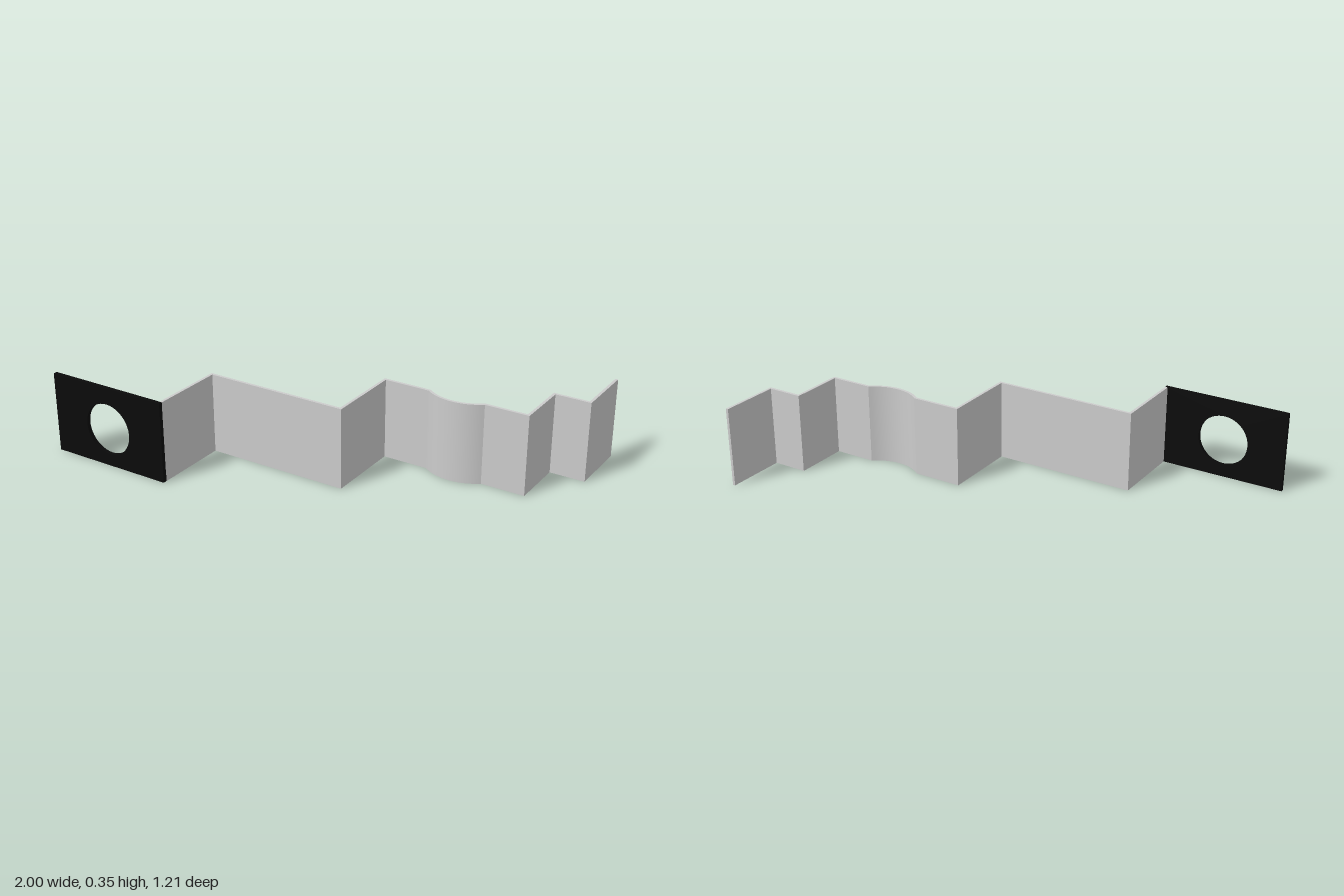
import * as THREE from 'three';
import { toCreasedNormals } from 'three/addons/utils/BufferGeometryUtils.js';

const HEIGHT = 0.353, THICK = 0.012;

// Closed outline around an open centre line, with mitred corners
function ribbonShape(path, thickness) {
  const normal = (a, b) => new THREE.Vector2(a.y - b.y, b.x - a.x).normalize();
  const offset = (side) => path.map((p, i) => {
    const n1 = normal(path[Math.max(i - 1, 0)], path[Math.max(i, 1)]);
    const last = path.length - 1;
    const n2 = normal(path[Math.min(i, last - 1)], path[Math.min(i + 1, last)]);
    const miter = n1.clone().add(n2).normalize();
    return p.clone().addScaledVector(miter, side * thickness / 2 / miter.dot(n1));
  });
  return new THREE.Shape([...offset(1), ...offset(-1).reverse()]);
}

export function createModel() {
  const model = new THREE.Group();

  // Bent strip: centre line seen from above as (x, -z)
  const bump = { x0: 0.4, x1: 0.65, z: -0.09, sag: 0.044 };
  const half = (bump.x1 - bump.x0) / 2;
  const radius = (half * half + bump.sag * bump.sag) / (2 * bump.sag);
  const spread = Math.asin(half / radius);
  const arc = [];
  for (let i = 0; i <= 20; i++) {
    const a = spread * (i / 10 - 1);
    arc.push([bump.x0 + half + radius * Math.sin(a), bump.z + bump.sag - radius * (1 - Math.cos(a))]);
  }
  const path = [
    [-0.443, 0.588], [-0.443, 0.253], [0.191, 0.253], [0.191, bump.z],
    ...arc,
    [0.839, bump.z], [0.839, -0.333], [0.994, -0.333], [0.994, -0.605],
  ].map(([x, z]) => new THREE.Vector2(x, -z));

  const stripGeometry = new THREE.ExtrudeGeometry(ribbonShape(path, THICK), { depth: HEIGHT, bevelEnabled: false });
  stripGeometry.rotateX(-Math.PI / 2);
  const strip = new THREE.Mesh(
    toCreasedNormals(stripGeometry, 0.4),
    new THREE.MeshStandardMaterial({ color: 0xcccccc }),
  );
  strip.name = 'bentStrip';
  model.add(strip);

  // Black end plate with a round hole
  const plateShape = new THREE.Shape([
    new THREE.Vector2(-1, 0), new THREE.Vector2(-0.437, 0),
    new THREE.Vector2(-0.437, HEIGHT), new THREE.Vector2(-1, HEIGHT),
  ]);
  plateShape.holes.push(new THREE.Path().absarc(-0.72, 0.167, 0.113, 0, Math.PI * 2, true));
  const plateGeometry = new THREE.ExtrudeGeometry(plateShape, { depth: 0.018, bevelEnabled: false, curveSegments: 48 });
  const plate = new THREE.Mesh(
    toCreasedNormals(plateGeometry, 0.5),
    new THREE.MeshStandardMaterial({ color: 0x0a0a0a }),
  );
  plate.name = 'endPlate';
  plate.position.z = 0.587;
  model.add(plate);

  return model;
}
